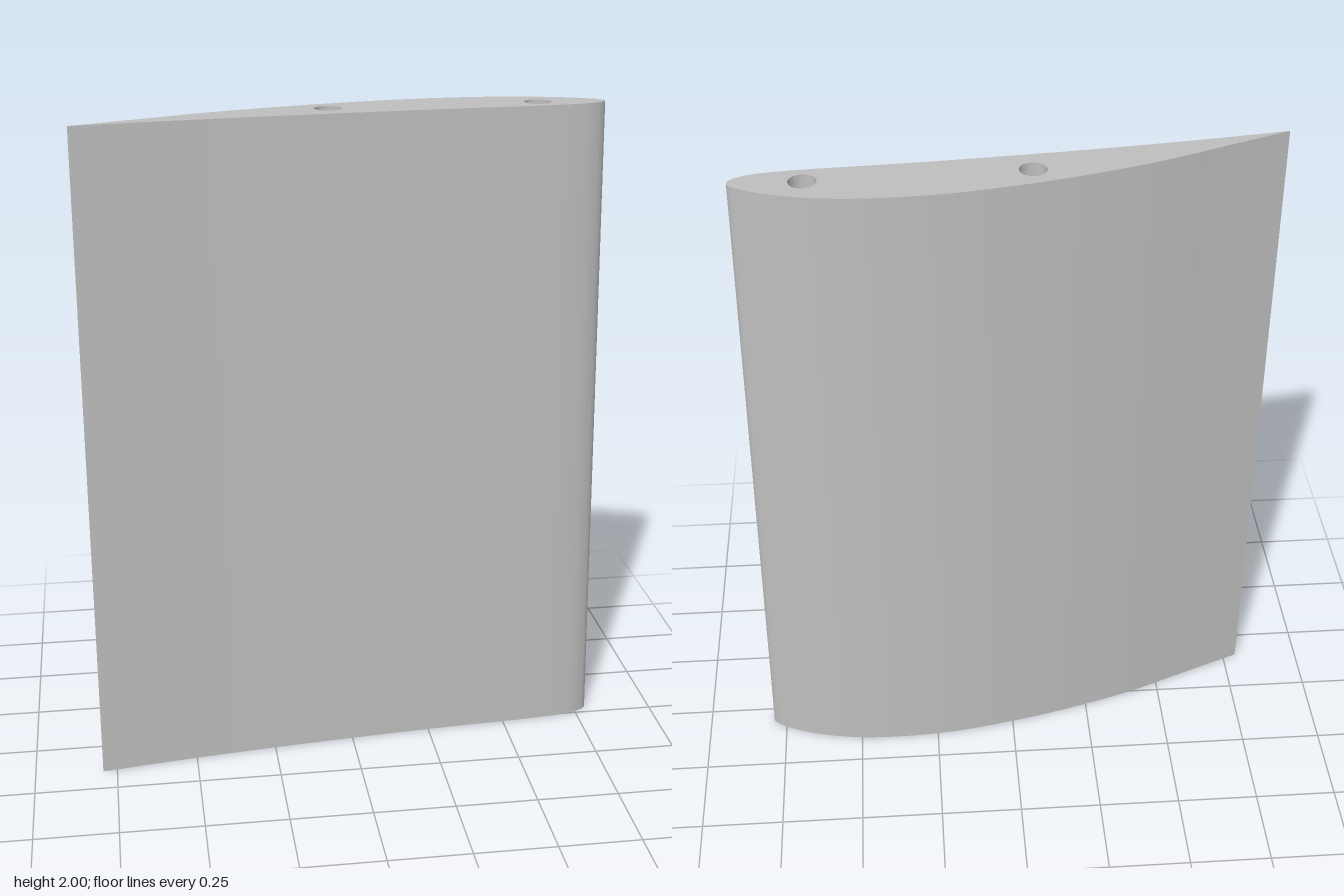
import * as THREE from 'three';
import { toCreasedNormals } from 'three/addons/utils/BufferGeometryUtils.js';

const HEIGHT = 2;
const TRAILING_X = -0.793;
const TOP_CHORD = 0.979; // chord of the tip section relative to the root

// Root section as [x, z], from the trailing edge over the back to the nose and home along the front
const SECTION = [
  [TRAILING_X, 0.153], [-0.6, 0.076], [-0.4, -0.003], [-0.2, -0.064], [0, -0.112], [0.2, -0.146],
  [0.4, -0.157], [0.55, -0.146], [0.68, -0.115], [0.755, -0.083], [0.785, -0.062],
  [0.792, -0.048], [0.785, -0.031], [0.755, -0.011], [0.7, 0.004], [0.57, 0.018],
  [0.4, 0.028], [0.2, 0.042], [0, 0.059], [-0.2, 0.078], [-0.4, 0.1], [-0.6, 0.125], [TRAILING_X, 0.153],
];

// Spar holes as [x, z, radius]
const HOLES = [[-0.06, -0.025, 0.039], [0.558, -0.05, 0.039]];

function createBlade() {
  const curve = new THREE.CatmullRomCurve3(SECTION.map(([x, z]) => new THREE.Vector3(x, -z, 0)));
  const outline = curve.getPoints((SECTION.length - 1) * 5).slice(0, -1);
  const shape = new THREE.Shape(outline.map((p) => new THREE.Vector2(p.x, p.y)));
  for (const [x, z, r] of HOLES) {
    shape.holes.push(new THREE.Path().absarc(x, -z, r, 0, Math.PI * 2, false));
  }
  const geometry = new THREE.ExtrudeGeometry(shape, { depth: HEIGHT, bevelEnabled: false, curveSegments: 20 });
  geometry.rotateX(-Math.PI / 2);

  // Taper the chord towards the top, keeping the trailing edge and the holes upright
  const pos = geometry.attributes.position;
  for (let i = 0; i < pos.count; i++) {
    const x = pos.getX(i), z = pos.getZ(i);
    if (HOLES.some(([hx, hz, r]) => Math.hypot(x - hx, z - hz) < r + 0.002)) continue;
    const t = pos.getY(i) / HEIGHT;
    pos.setX(i, TRAILING_X + (x - TRAILING_X) * (1 + (TOP_CHORD - 1) * t));
    pos.setZ(i, z * (1 - 0.005 * t));
  }
  return toCreasedNormals(geometry, 0.7);
}

export function createModel() {
  const model = new THREE.Group();
  model.name = 'wingSection';
  const grey = new THREE.MeshStandardMaterial({ color: 0xbfbfbf });
  grey.name = 'light grey';
  const blade = new THREE.Mesh(createBlade(), grey);
  blade.name = 'airfoilBlade';
  model.add(blade);
  return model;
}
